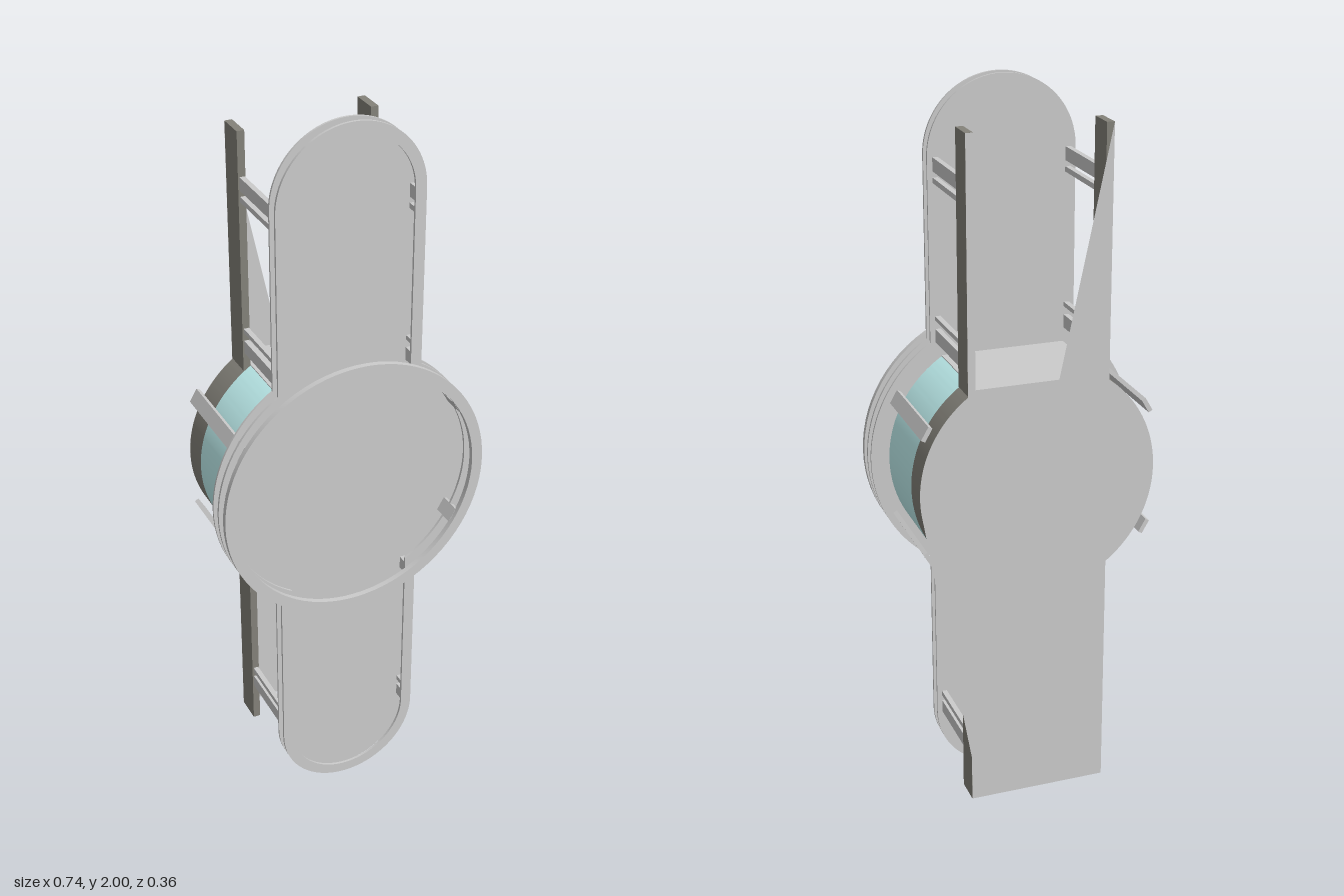
import * as THREE from 'three';
import { toCreasedNormals } from 'three/addons/utils/BufferGeometryUtils.js';

const grey = new THREE.MeshStandardMaterial({ color: 0xcccccc, side: THREE.DoubleSide });
const dark = new THREE.MeshStandardMaterial({ color: 0x84827a, side: THREE.DoubleSide });
const glass = new THREE.MeshStandardMaterial({ color: 0xc4f5f5, side: THREE.DoubleSide });

const CY = 1;            // height of the dial centre
const DRUM = 0.32;       // drum radius
const LEG = 0.17;        // inner x of the back legs
const BACK = -0.18, STEP = -0.105, PANEL = 0.1;

// Upright pill merged with a central disc
function outline(Type, R, w) {
  const p = new Type(), a = Math.acos(w / R), H = Math.PI;
  p.absarc(0, CY, R, -a, a, false);
  p.absarc(0, 1.8, w, 0, H, false);
  p.absarc(0, CY, R, H - a, H + a, false);
  p.absarc(0, 0.2, w, H, 2 * H, false);
  p.closePath();
  return p;
}

function disc(Type, R) {
  const p = new Type();
  p.absarc(0, CY, R, 0, Math.PI * 2, false);
  return p;
}

export function createModel() {
  const group = new THREE.Group();

  function add(name, geometry, material = grey) {
    const mesh = new THREE.Mesh(geometry, material);
    mesh.name = name;
    group.add(mesh);
    return mesh;
  }
  function slab(name, shape, z0, z1, material) {
    const g = new THREE.ExtrudeGeometry(shape, { depth: z1 - z0, bevelEnabled: false, curveSegments: 40 });
    g.translate(0, 0, z0);
    return add(name, toCreasedNormals(g, 0.5), material);
  }
  function bar(name, x, y, w, h, z0, z1, material) {
    const mesh = add(name, new THREE.BoxGeometry(w, h, z1 - z0), material);
    mesh.position.set(x, y, (z0 + z1) / 2);
    return mesh;
  }

  // Front panel, the rim floating before it, and the round dial rim
  slab('frontPanel', outline(THREE.Shape, 0.37, 0.2), 0.097, 0.103);
  const rim = outline(THREE.Shape, 0.37, 0.2);
  rim.holes.push(outline(THREE.Path, 0.34, 0.17));
  slab('panelRim', rim, 0.13, 0.137);
  const ring = disc(THREE.Shape, 0.37);
  ring.holes.push(disc(THREE.Path, 0.34));
  slab('dialRim', ring, 0.165, 0.18);

  // Curved drum sides: glazed in front, dark band behind
  const a = Math.acos(LEG / DRUM);
  for (const turn of [0, Math.PI]) {
    const s = new THREE.Shape();
    s.absarc(0, CY, DRUM, turn - a, turn + a, false);
    s.absarc(0, CY, DRUM - 0.01, turn + a, turn - a, true);
    s.closePath();
    slab('drumGlazing', s, STEP, PANEL, glass);
    slab('drumBand', s, BACK, STEP, dark);
  }

  for (const v of [-1, 1]) {
    // Flat lids closing the drum above and below
    bar('drumLid', 0, CY + v * 0.27, 2 * LEG, 0.008, BACK + 0.001, PANEL);

    for (const u of [-1, 1]) {
      // Long legs of the back frame
      bar('backLeg', u * 0.18, CY + v * 0.59, 0.02, 0.66, BACK, STEP, dark);

      // Paired spacers between legs and panel rim
      for (const [dy, h] of [[0.783, 0.036], [0.742, 0.014], [0.33, 0.036], [0.377, 0.012]])
        bar('spacer', u * 0.179, CY + v * dy, 0.014, h, STEP, 0.132);

      // Tilted posts carrying the dial rim
      const t = Math.PI / 6;
      const post = bar('dialPost', u * 0.345 * Math.cos(t), CY + v * 0.345 * Math.sin(t),
        0.012, 0.04, BACK, 0.168);
      post.rotation.z = u * v * t;
    }
  }

  // Back sheet with a notch between the upper legs
  const b = Math.acos(0.19 / DRUM);
  const back = new THREE.Shape();
  back.moveTo(0.19, 0.08);
  back.lineTo(0.19, 0.21);
  back.absarc(0, CY, DRUM, -0.16, b, false);
  back.lineTo(0.19, 1.92);
  back.lineTo(0.17, 1.92);
  back.lineTo(0.17, 1.27);
  back.lineTo(-0.05, 1.26);
  back.lineTo(-0.19, 1.92);
  back.absarc(0, CY, DRUM, Math.PI - b, Math.PI + b, false);
  back.lineTo(-0.19, 0.08);
  back.closePath();
  const sheet = add('backSheet', new THREE.ShapeGeometry(back, 40));
  sheet.position.z = BACK - 0.001;

  return group;
}
